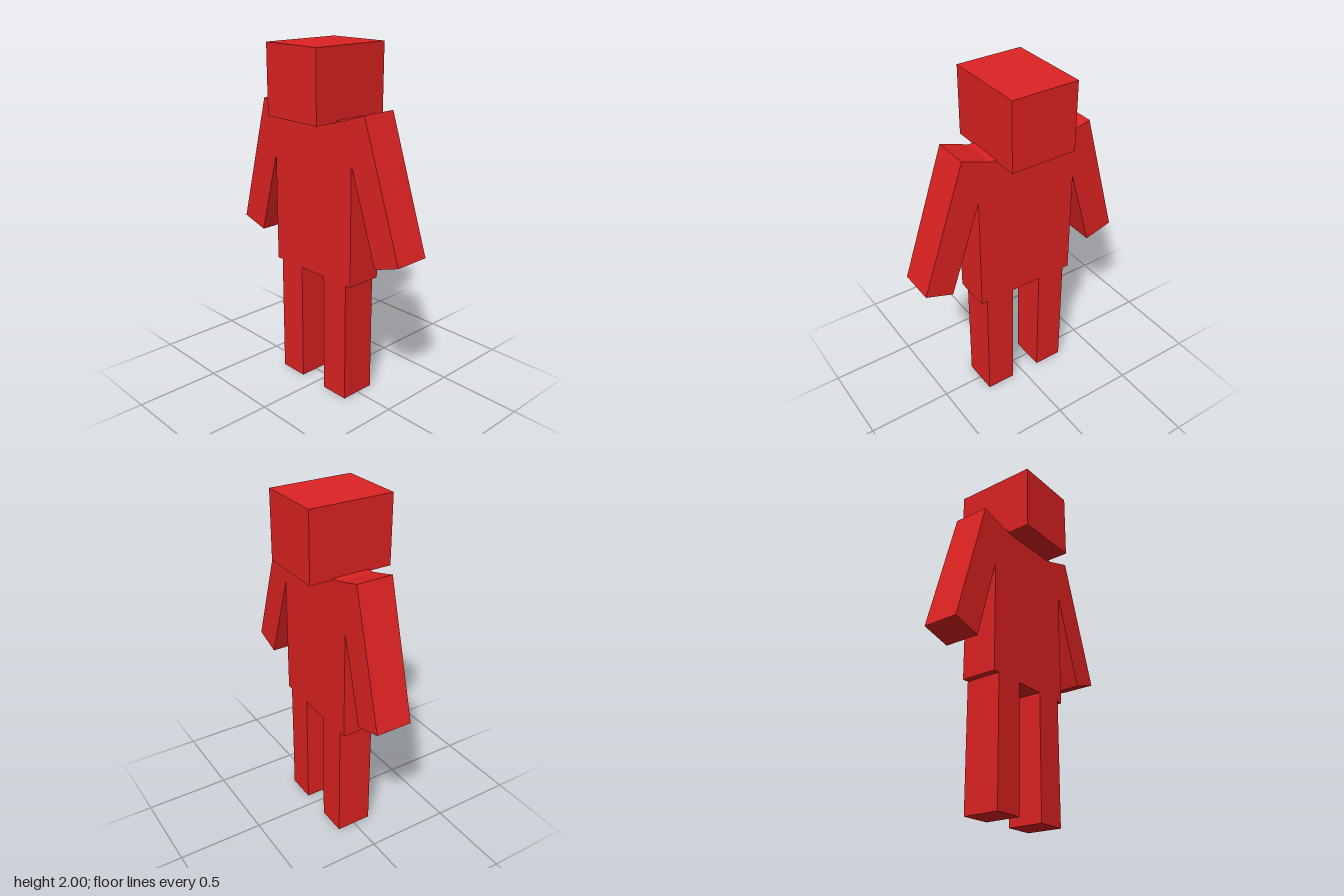
import * as THREE from 'three';

export function createModel() {
  const model = new THREE.Group();
  const red = new THREE.MeshStandardMaterial({ color: 0xdd2222 });
  const depth = 0.212;

  // Adds a named block by size and centre, tilted about z
  function block(name, w, h, d, x, y, tilt = 0) {
    const mesh = new THREE.Mesh(new THREE.BoxGeometry(w, h, d), red);
    mesh.name = name;
    mesh.position.set(x, y, 0);
    mesh.rotation.z = tilt;
    model.add(mesh);
  }

  block('head', 0.387, 0.39, 0.49, -0.021, 1.805);
  block('torso', 0.61, 0.905, depth, -0.02, 1.1675);

  // Arms swing outwards by slightly different angles
  block('rightArm', 0.176, 0.786, depth, -0.441, 1.2635, -0.273);
  block('leftArm', 0.172, 0.786, depth, 0.419, 1.2775, 0.33);

  // Legs
  block('rightLeg', 0.175, 0.715, depth, -0.199, 0.3575);
  block('leftLeg', 0.175, 0.715, depth, 0.162, 0.3575);

  return model;
}
